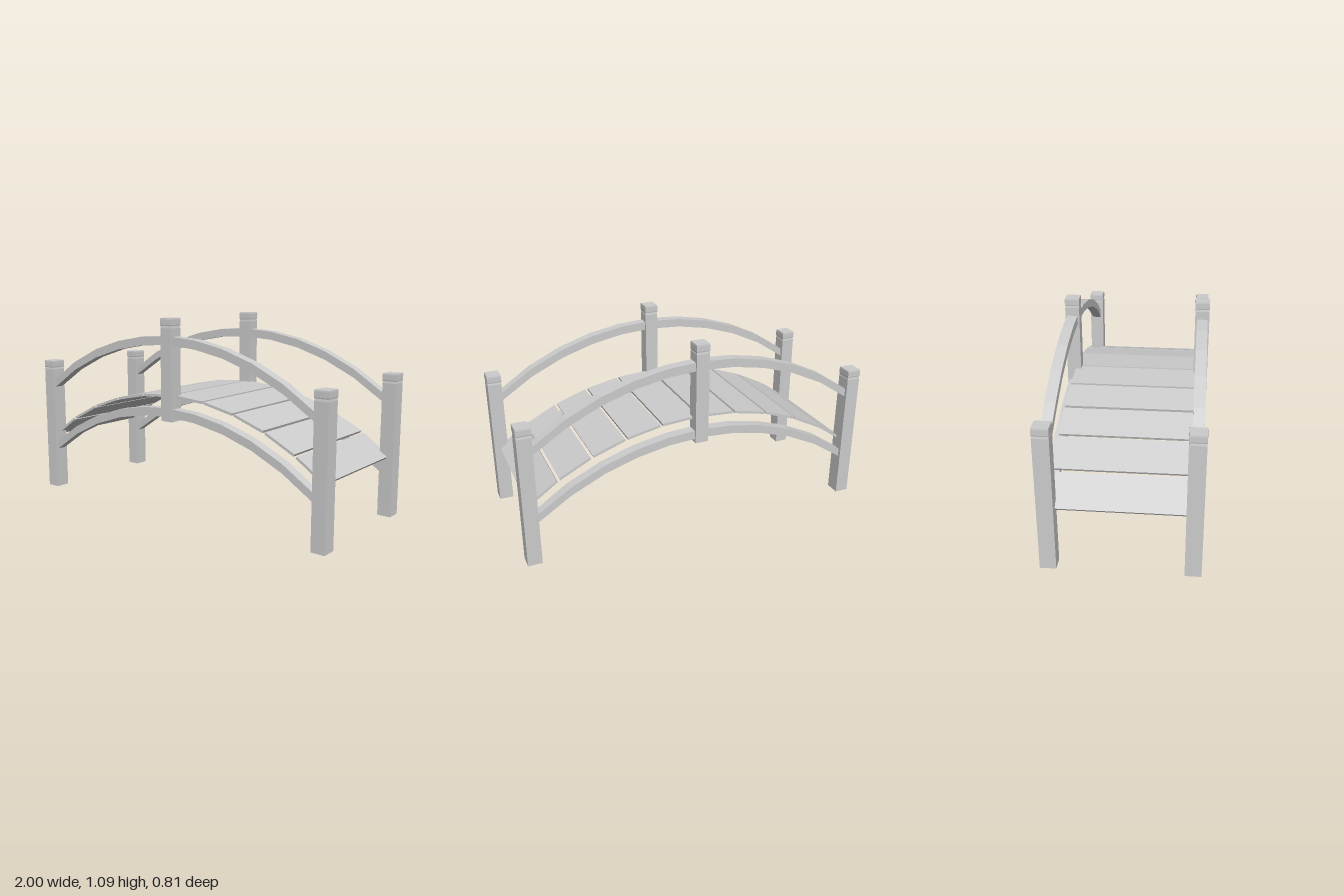
import * as THREE from 'three';

// height lost by an arc of radius r at distance x from its crown
const drop = (x, r) => r - Math.sqrt(r * r - x * x);

// square post with a narrow neck and a soft-edged cap
function makePost(name, y0, y1, halfX, halfZ, material) {
  const neck = y1 - 0.042;
  const profile = [
    [0, y0], [0.98, y0], [0.98, neck - 0.012], [0.92, neck], [0.97, neck],
    [1, neck + 0.006], [1, y1 - 0.008], [0.97, y1], [0, y1],
  ].map(([r, y]) => new THREE.Vector2(r * Math.SQRT2, y));
  const geometry = new THREE.LatheGeometry(profile, 4);
  geometry.rotateY(Math.PI / 4);
  geometry.scale(halfX, 1, halfZ);
  const post = new THREE.Mesh(geometry, material);
  post.name = name;
  return post;
}

// straight bar bent into an arc, slightly narrower where it enters the posts
function makeRail(name, crown, material) {
  const half = 0.925;
  const geometry = new THREE.BoxGeometry(2 * half, 0.048, 0.058, 10, 1, 1);
  const p = geometry.attributes.position;
  for (let i = 0; i < p.count; i++) {
    const x = p.getX(i);
    p.setY(i, p.getY(i) + crown - 0.024 - drop(x, 1.52));
    if (Math.abs(x) > half - 0.01) p.setZ(i, p.getZ(i) * 0.88);
  }
  geometry.computeVertexNormals();
  const rail = new THREE.Mesh(geometry, material);
  rail.name = name;
  return rail;
}

export function createModel() {
  const bridge = new THREE.Group();
  bridge.name = 'archedFootbridge';
  const wood = new THREE.MeshStandardMaterial({ color: 0xcccccc });
  wood.name = 'paleGrey';
  wood.flatShading = true;

  // posts and rails on both sides
  for (const side of [1, -1]) {
    const railing = new THREE.Group();
    railing.name = side > 0 ? 'frontRailing' : 'backRailing';
    railing.position.z = side * 0.363;
    for (const x of [-0.96, 0.96]) {
      const post = makePost(x > 0 ? 'leftEndPost' : 'rightEndPost', 0, 0.797, 0.04, 0.043, wood);
      post.position.x = x;
      railing.add(post);
    }
    railing.add(makePost('middlePost', 0.53, 1.092, 0.038, 0.04, wood));
    railing.add(makeRail('handrail', 0.995, wood));
    railing.add(makeRail('lowerRail', 0.602, wood));
    bridge.add(railing);
  }

  // deck planks, each laid along a chord of the arch
  const deck = new THREE.Group();
  deck.name = 'deck';
  const joints = [0, 0.215, 0.415, 0.607, 0.793, 0.967];
  const gap = 0.007;
  const thickness = 0.014;
  for (const side of [1, -1]) {
    for (let i = 0; i < joints.length - 1; i++) {
      const xa = joints[i] + gap, xb = joints[i + 1] - gap;
      const ya = 0.672 - drop(xa, 1.55), yb = 0.672 - drop(xb, 1.55);
      const plank = new THREE.Mesh(
        new THREE.BoxGeometry(Math.hypot(xb - xa, yb - ya), thickness, 0.71), wood);
      plank.name = 'plank';
      plank.position.set(side * (xa + xb) / 2, (ya + yb - thickness) / 2, 0);
      plank.rotation.z = side * Math.atan2(yb - ya, xb - xa);
      deck.add(plank);
    }
  }
  bridge.add(deck);
  return bridge;
}
